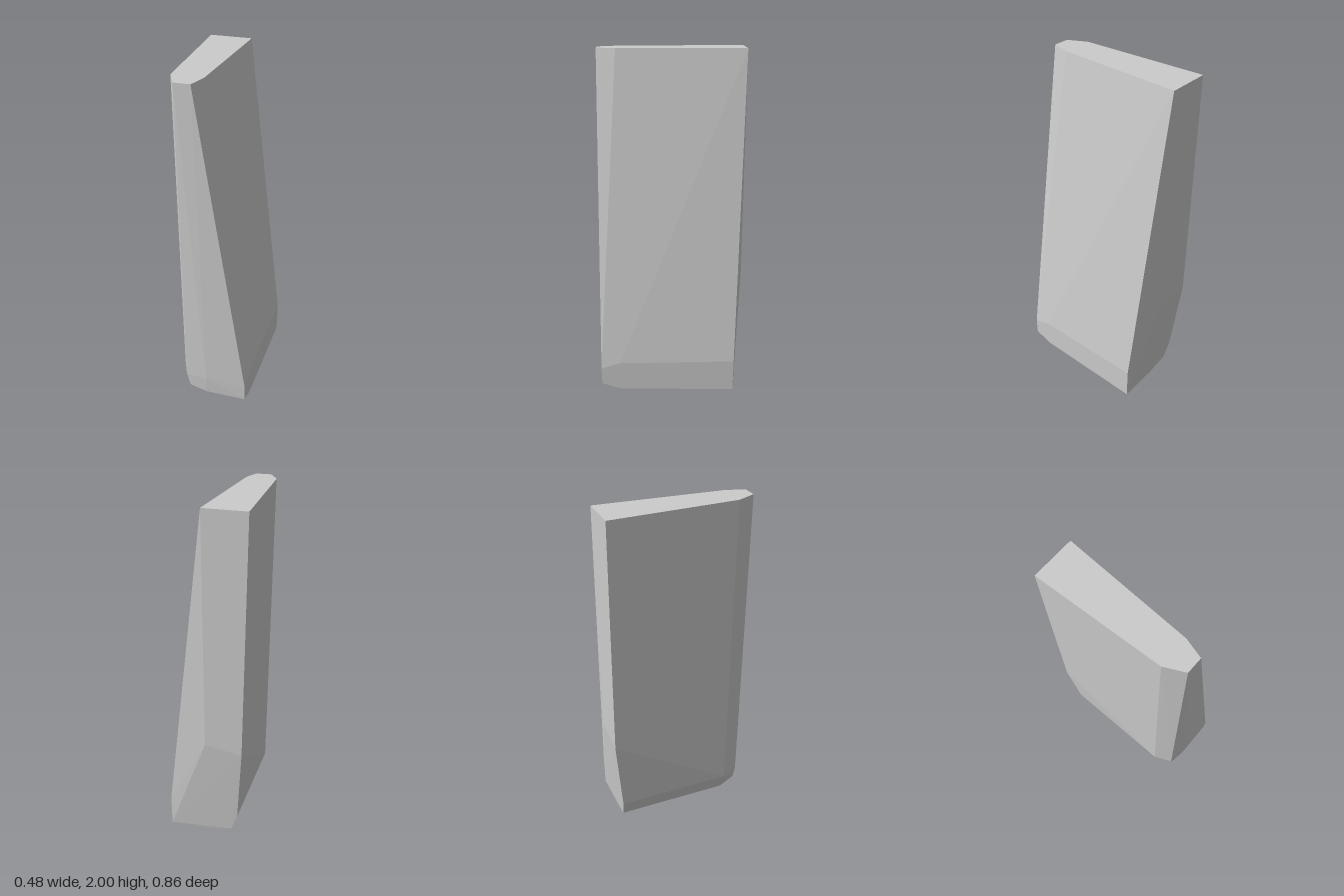
import * as THREE from 'three';
import { ConvexGeometry } from 'three/addons/geometries/ConvexGeometry.js';

// Outlines [x, y, z] running from the top left corner down, along the foot and up the sloping side
const frontOutline = [
  [-0.145, 2, 0.415], [-0.13, 0.15, 0.412], [-0.11, 0.065, 0.408], [0, 0.05, 0.42],
  [0.24, 0.05, 0.415], [0.24, 0.15, 0.417], [-0.053, 2, 0.415],
];
const bevelOutline = [
  [-0.2, 2, 0.305], [-0.18, 0.15, 0.305], [-0.14, 0.04, 0.305], [0, 0.015, 0.305],
  [0.24, 0.013, 0.305], [0.24, 0.185, 0.305], [-0.023, 2, 0.305],
];
const backOutline = [
  [-0.24, 2, -0.43], [-0.215, 0.62, -0.43], [-0.18, 0.15, -0.385], [-0.14, 0.04, -0.375],
  [0, 0.005, -0.37], [0.24, 0, -0.372], [0.24, 0.19, -0.375], [0.005, 2, -0.43],
];
// Slight peaks on the front and back faces
const peaks = [[0, 0.16, 0.428], [0, 0.65, -0.43]];

export function createModel() {
  const group = new THREE.Group();
  group.name = 'taperedSlab';

  // One faceted convex body stretched over the outlines
  const points = [...frontOutline, ...bevelOutline, ...backOutline, ...peaks]
    .map((p) => new THREE.Vector3(...p));
  const body = new THREE.Mesh(
    new ConvexGeometry(points),
    new THREE.MeshStandardMaterial({ color: 0xcccccc, flatShading: true }),
  );
  body.name = 'slabBody';
  group.add(body);
  return group;
}
